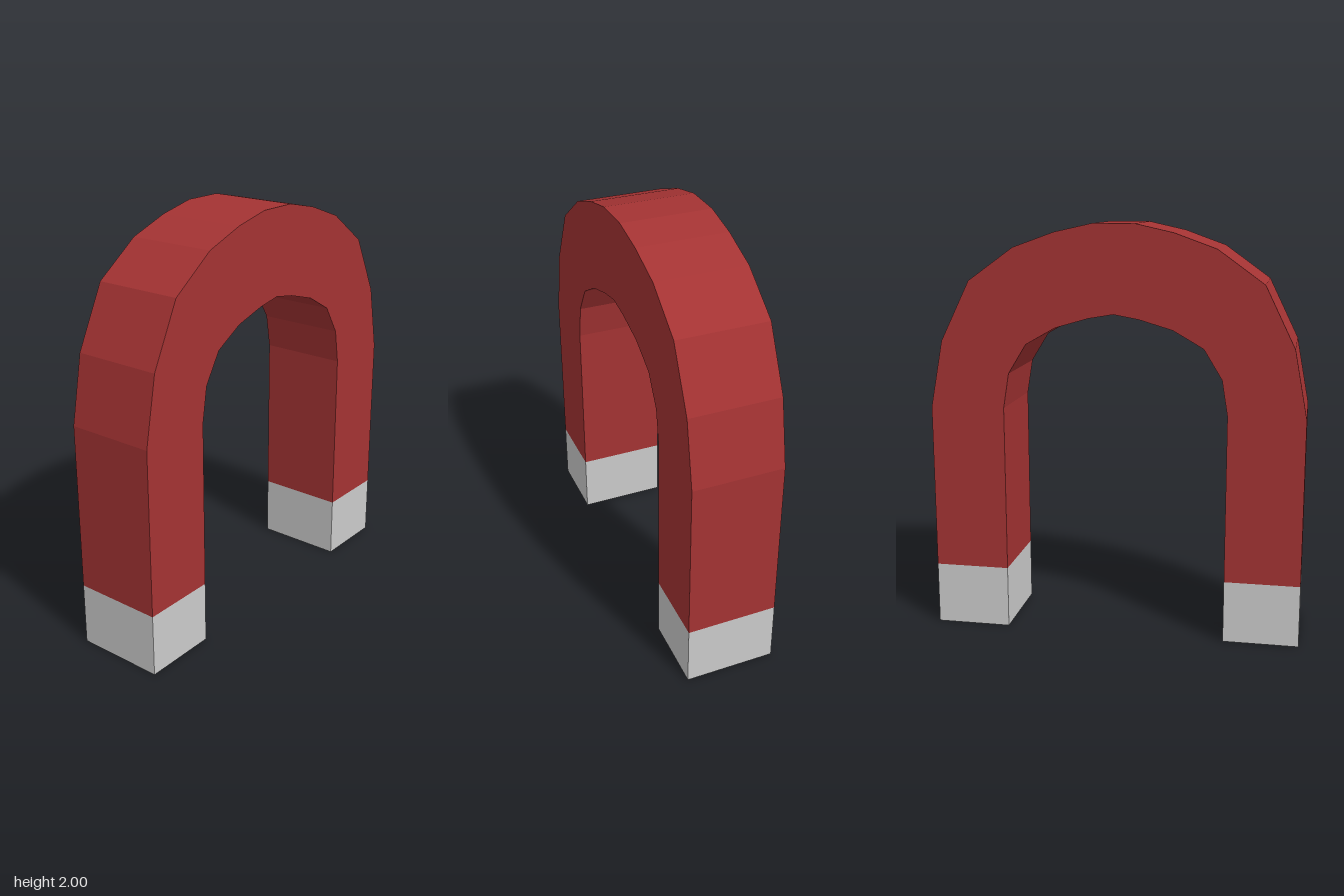
import * as THREE from 'three';

const WIDTH = 0.44, TIP_HEIGHT = 0.305;
const OUTER_Z = 0.905, INNER_Z = 0.54;

export function createModel() {
  const group = new THREE.Group();
  group.name = 'horseshoeMagnet';
  const red = new THREE.MeshStandardMaterial({ color: 0xa43333, flatShading: true });
  const grey = new THREE.MeshStandardMaterial({ color: 0xcccccc, flatShading: true });

  // Half outlines of the arch, from the foot up to the crown
  const outer = [[OUTER_Z, TIP_HEIGHT], [OUTER_Z, 1.115], [0.843, 1.44], [0.70, 1.73], [0.48, 1.888], [0.28, 1.96], [0.10, 2]];
  const inner = [[INNER_Z, TIP_HEIGHT], [INNER_Z, 1.12], [0.512, 1.29], [0.425, 1.432], [0.28, 1.515], [0.12, 1.562], [0, 1.583]];
  const mirror = (points) => points.map(([z, y]) => [-z, y]);

  // Red arch: closed outline extruded across the width
  const outline = [
    ...outer, ...mirror(outer).reverse(),
    ...mirror(inner), ...inner.slice(0, -1).reverse(),
  ].map(([z, y]) => new THREE.Vector2(z, y));
  const archGeometry = new THREE.ExtrudeGeometry(new THREE.Shape(outline), { depth: WIDTH, bevelEnabled: false });
  archGeometry.translate(0, 0, -WIDTH / 2).rotateY(Math.PI / 2);
  const arch = new THREE.Mesh(archGeometry, red);
  arch.name = 'arch';
  group.add(arch);

  // Grey pole tips
  for (const side of [1, -1]) {
    const tip = new THREE.Mesh(new THREE.BoxGeometry(WIDTH, TIP_HEIGHT, OUTER_Z - INNER_Z), grey);
    tip.position.set(0, TIP_HEIGHT / 2, side * (OUTER_Z + INNER_Z) / 2);
    tip.name = side > 0 ? 'frontPoleTip' : 'backPoleTip';
    group.add(tip);
  }
  return group;
}
